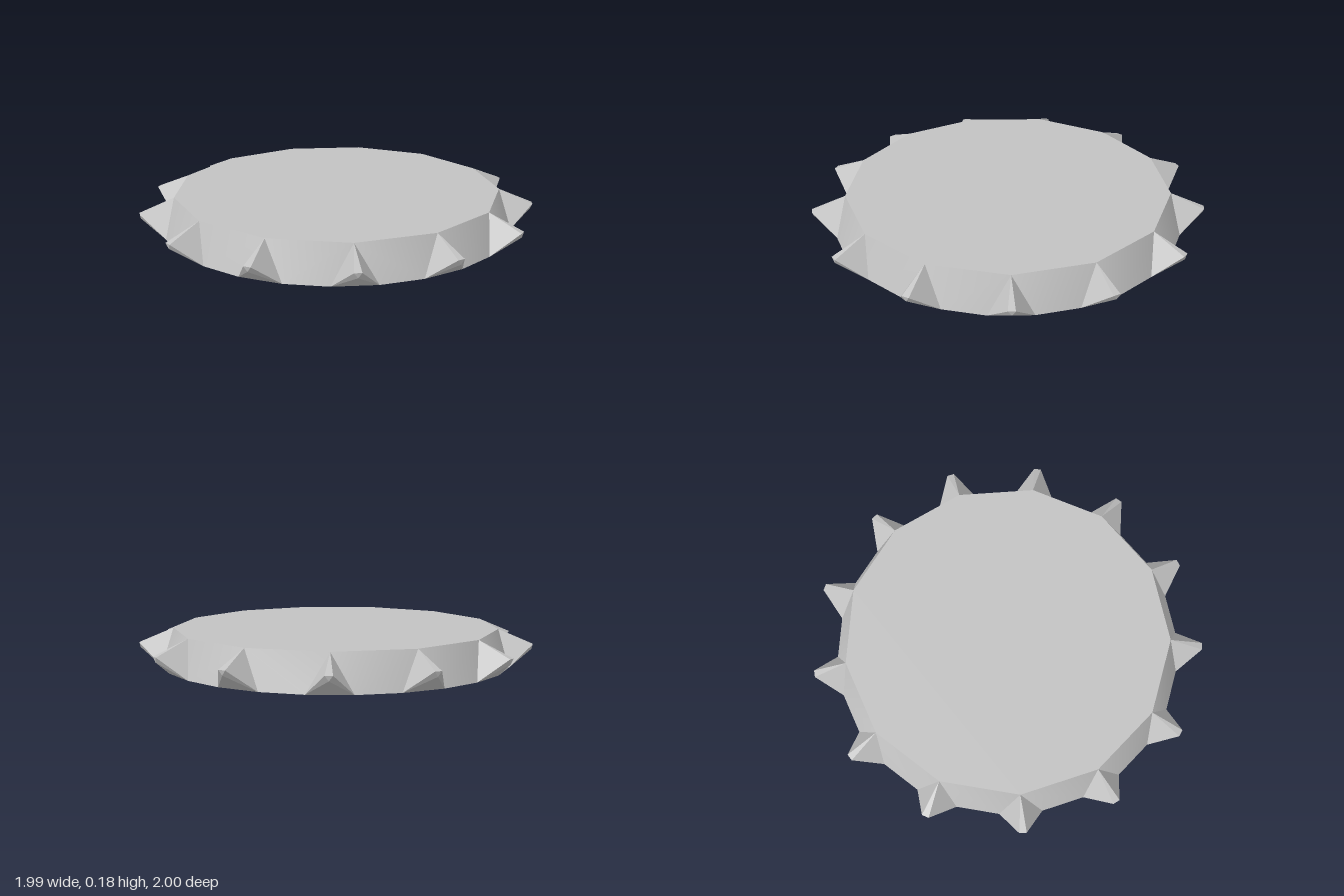
import * as THREE from 'three';
import { toCreasedNormals } from 'three/addons/utils/BufferGeometryUtils.js';
import { ConvexGeometry } from 'three/addons/geometries/ConvexGeometry.js';

const TEETH = 13;
const STEP = (Math.PI * 2) / TEETH;
const HEIGHT = 0.18;
const TOP_RADIUS = 0.833;
const BASE_RADIUS = 0.893;
const TIP_RADIUS = 1.005;

// point on a ring around the y axis
const polar = (radius, angle, y) =>
  new THREE.Vector3(radius * Math.cos(angle), y, radius * Math.sin(angle));

export function createModel() {
  const group = new THREE.Group();
  group.name = 'toothedDisc';
  const metal = new THREE.MeshStandardMaterial({ color: 0xc2c2c2 });
  metal.name = 'light grey';

  // disc: one top corner per tooth, two bottom corners per tooth
  const corners = [];
  for (let i = 0; i < TEETH; i++) {
    const a = i * STEP;
    corners.push(
      polar(TOP_RADIUS, a, HEIGHT),
      polar(BASE_RADIUS, a - STEP / 4, 0),
      polar(BASE_RADIUS, a + STEP / 4, 0)
    );
  }
  const disc = new THREE.Mesh(toCreasedNormals(new ConvexGeometry(corners), Math.PI / 6), metal);
  disc.name = 'disc';
  group.add(disc);

  // tooth: upright triangle at the root, small inverted triangle at the tip
  const toothGeometry = new ConvexGeometry([
    polar(TOP_RADIUS, 0, HEIGHT),
    polar(BASE_RADIUS, -STEP / 4, 0),
    polar(BASE_RADIUS, STEP / 4, 0),
    new THREE.Vector3(TIP_RADIUS, 0.107, -0.018),
    new THREE.Vector3(TIP_RADIUS, 0.107, 0.018),
    new THREE.Vector3(TIP_RADIUS - 0.004, 0.082, 0),
  ]);
  for (let i = 0; i < TEETH; i++) {
    const tooth = new THREE.Mesh(toothGeometry, metal);
    tooth.name = `tooth${i + 1}`;
    tooth.rotation.y = -i * STEP;
    group.add(tooth);
  }

  // an odd tooth count needs a small shift to centre the outline
  group.children.forEach((part) => { part.position.x = -0.013; });
  return group;
}
